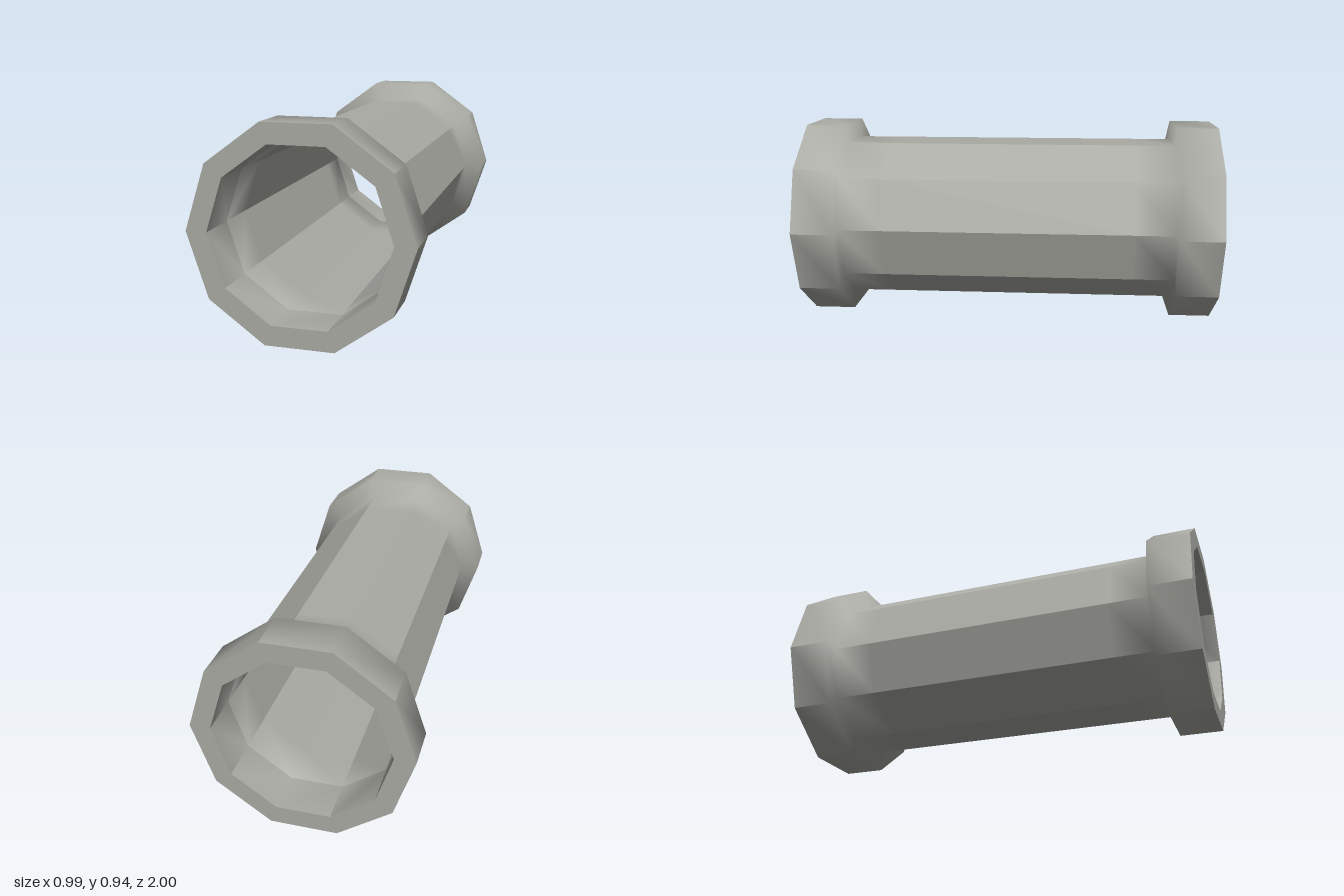
import * as THREE from 'three';

const SIDES = 10, OUTER = 0.494, INNER = 0.4, CENTRE_Y = 0.47;

// Sweeps a profile around z as a ten-sided ring. Points are [radius, z, blend];
// blend is an optional [radial, axial] normal shared around a softened corner.
function facetedSweep(profile) {
  const positions = [], normals = [];
  const v = (r, a, z) => new THREE.Vector3(r * Math.cos(a), r * Math.sin(a), z);
  for (let i = 0; i < profile.length - 1; i++) {
    const p = profile[i], q = profile[i + 1];
    for (let s = 0; s < SIDES; s++) {
      const a0 = (s / SIDES) * Math.PI * 2, a1 = ((s + 1) / SIDES) * Math.PI * 2;
      const corners = [[p, a0], [p, a1], [q, a1], [q, a0]];
      const pts = corners.map(([k, a]) => v(k[0], a, k[1]));
      const flat = pts[1].clone().sub(pts[0]).cross(pts[3].clone().sub(pts[0])).normalize();
      for (const c of [0, 1, 2, 0, 2, 3]) {
        const [k, a] = corners[c];
        const n = k[2] ? v(k[2][0], a, k[2][1]).normalize() : flat;
        positions.push(...pts[c].toArray());
        normals.push(...n.toArray());
      }
    }
  }
  const g = new THREE.BufferGeometry();
  g.setAttribute('position', new THREE.Float32BufferAttribute(positions, 3));
  g.setAttribute('normal', new THREE.Float32BufferAttribute(normals, 3));
  return g;
}

export function createModel() {
  const model = new THREE.Group();
  model.name = 'flangedPipe';
  const grey = new THREE.MeshStandardMaterial({ color: 0xaaaaa4, side: THREE.DoubleSide });
  grey.name = 'pipeGrey';

  const add = (name, geometry) => {
    const mesh = new THREE.Mesh(geometry, grey);
    mesh.name = name;
    mesh.position.y = CENTRE_Y;
    model.add(mesh);
    return mesh;
  };

  // Thin hollow tube, softened where it meets the collars
  add('tube', facetedSweep([
    [INNER, -0.8, [1, 0.5]], [INNER, -0.6], [INNER, 0.6], [INNER, 0.8, [1, -0.5]],
  ]));

  // Collar: inner shoulder, rim and end face
  const collar = facetedSweep([
    [INNER, 0.8, [1, -0.5]], [OUTER, 0.8, [1, -0.5]], [OUTER, 1], [INNER, 1],
  ]);
  // Bore lining through the collar
  const bore = facetedSweep([[INNER, 1], [INNER, 0.8, [-1, 0]]]);

  for (const [end, turn] of [['front', 0], ['back', Math.PI]]) {
    add(end + 'Collar', collar).rotation.y = turn;
    add(end + 'Bore', bore).rotation.y = turn;
  }
  return model;
}
